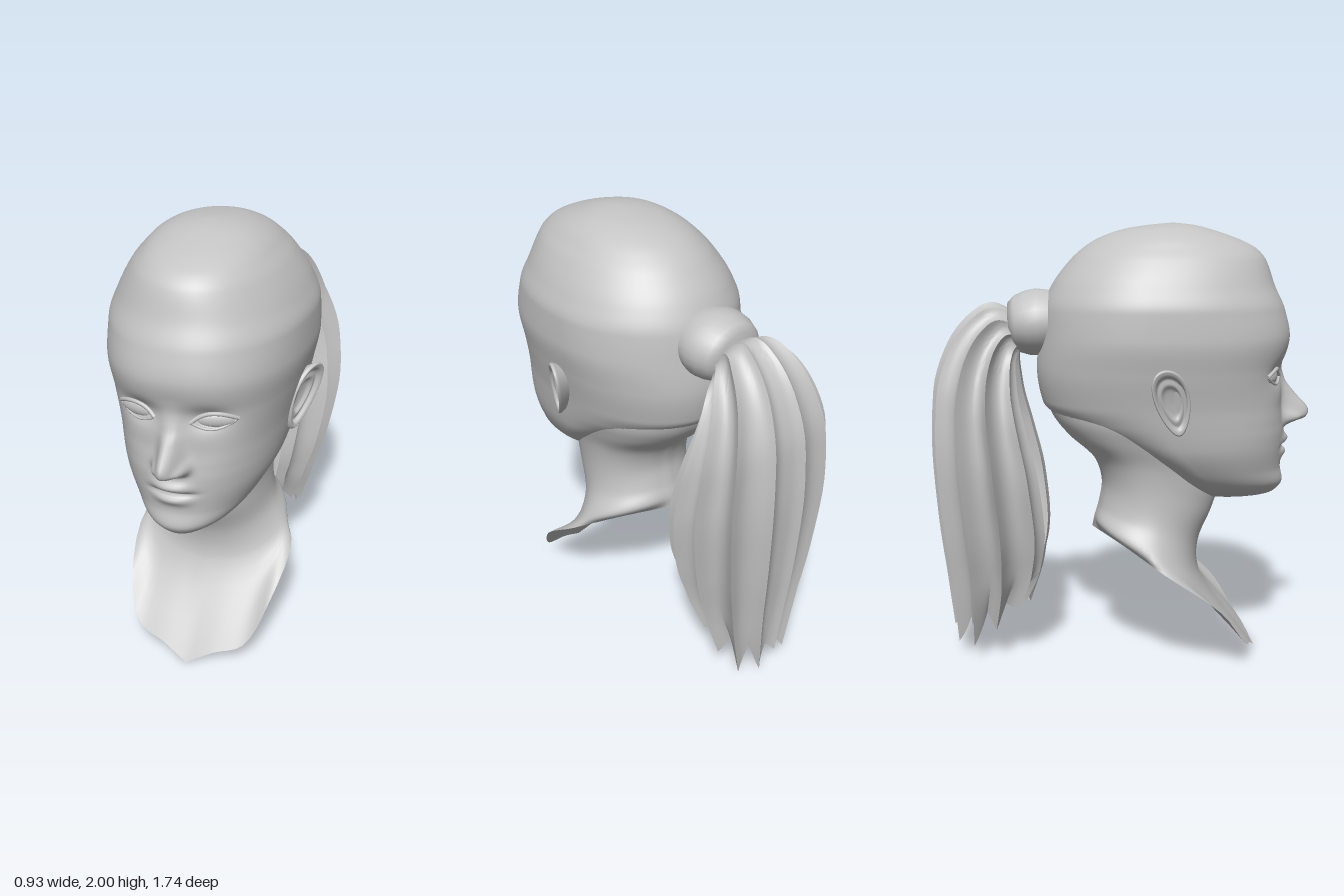
import * as THREE from 'three';
import { mergeVertices, toCreasedNormals } from 'three/addons/utils/BufferGeometryUtils.js';

const clay = new THREE.MeshStandardMaterial({ color: 0xc4c4c4, side: THREE.DoubleSide });
clay.name = 'grey clay';

// Monotone cubic through rows [key, a, b, ...]; returns every column at key t
function sample(rows, t) {
  let i = 0;
  while (i < rows.length - 2 && t > rows[i + 1][0]) i++;
  const h = rows[i + 1][0] - rows[i][0];
  const s = Math.min(1, Math.max(0, (t - rows[i][0]) / h));
  return rows[i].slice(1).map((_, n) => {
    const k = n + 1;
    const slope = (j) => (rows[j + 1][k] - rows[j][k]) / (rows[j + 1][0] - rows[j][0]);
    const tangent = (j) => {
      if (j === 0) return slope(0);
      if (j === rows.length - 1) return slope(j - 1);
      const a = slope(j - 1), b = slope(j);
      return a * b <= 0 ? 0 : (2 * a * b) / (a + b);
    };
    const s2 = s * s, s3 = s2 * s;
    return (2 * s3 - 3 * s2 + 1) * rows[i][k] + (s3 - 2 * s2 + s) * h * tangent(i)
      + (3 * s2 - 2 * s3) * rows[i + 1][k] + (s3 - s2) * h * tangent(i + 1);
  });
}

// Surface from a function of column u and row v, both 0..1
function grid(cols, rows, point) {
  const pos = [], index = [];
  for (let j = 0; j <= rows; j++) for (let i = 0; i <= cols; i++) pos.push(...point(i / cols, j / rows));
  for (let j = 0; j < rows; j++) for (let i = 0; i < cols; i++) {
    const a = j * (cols + 1) + i, d = a + cols + 1;
    index.push(a, a + 1, d + 1, a, d + 1, d);
  }
  let geo = new THREE.BufferGeometry();
  geo.setAttribute('position', new THREE.Float32BufferAttribute(pos, 3));
  geo.setIndex(index);
  geo = mergeVertices(geo, 1e-4);
  geo.computeVertexNormals();
  return geo;
}

function add(parent, name, geo) {
  const mesh = new THREE.Mesh(geo, clay);
  mesh.name = name;
  parent.add(mesh);
  return mesh;
}

// Head levels: y, half width, front z, back z, z of widest point, fullness of the front curve
const HEAD = [
  [0.747, 0, 0.52, 0.52, 0.52, 2], [0.755, 0.08, 0.65, 0.35, 0.5, 2], [0.775, 0.135, 0.72, 0.27, 0.47, 2.05],
  [0.83, 0.215, 0.757, 0.18, 0.42, 2.1], [0.9, 0.272, 0.745, 0.12, 0.35, 2.15], [1.0, 0.325, 0.75, -0.02, 0.26, 2.25],
  [1.06, 0.342, 0.752, -0.15, 0.22, 2.3], [1.12, 0.355, 0.746, -0.27, 0.18, 2.35],
  [1.2, 0.37, 0.737, -0.355, 0.14, 2.4], [1.35, 0.403, 0.74, -0.38, 0.12, 2.4],
  [1.5, 0.428, 0.77, -0.365, 0.12, 2.3], [1.62, 0.425, 0.745, -0.35, 0.13, 2.2], [1.72, 0.39, 0.7, -0.31, 0.14, 2.15],
  [1.84, 0.32, 0.655, -0.22, 0.17, 2.1], [1.885, 0.28, 0.615, -0.17, 0.18, 2.1], [1.925, 0.24, 0.54, -0.11, 0.2, 2.1],
  [1.97, 0.165, 0.41, 0.01, 0.22, 2], [1.99, 0.09, 0.33, 0.13, 0.23, 2], [2.0, 0, 0.24, 0.24, 0.24, 2],
];
// Nose: y, projection, half width
const NOSE = [[1.05, 0, 0.05], [1.075, 0.008, 0.05], [1.095, 0.05, 0.055], [1.12, 0.118, 0.055],
  [1.15, 0.132, 0.05], [1.235, 0.068, 0.042], [1.29, 0.025, 0.04], [1.36, 0.004, 0.04], [1.42, 0, 0.05]];
const bell = (d, w) => Math.exp(-((d / w) ** 2));

// Facial relief added to the front of the head
function relief(x, y) {
  const ax = Math.abs(x);
  const [out, wide] = sample(NOSE, y);
  const mouth = Math.exp(-((ax / 0.1) ** 4));
  return out * Math.exp(-((ax / wide) ** 2.4))
    + 0.035 * bell(ax - 0.058, 0.02) * bell(y - 1.125, 0.026)
    - 0.034 * bell(ax - 0.14, 0.08) * bell(y - 1.335, 0.05)
    + 0.006 * bell(ax - 0.22, 0.08) * bell(y - 1.18, 0.08)
    + mouth * (0.028 * bell(y - 1.025, 0.026) * bell(ax, 0.1) + 0.022 * bell(y - 0.962, 0.026) * bell(ax, 0.09)
      - 0.016 * bell(y - 0.992, 0.011));
}
function faceZ(x, y) {
  const [w, f, , c, full] = sample(HEAD, y);
  return c + (f - c) * (1 - (Math.abs(x) / w) ** full) ** (1 / full) + relief(x, y);
}

function headGeometry() {
  const levels = [HEAD[0][0]];
  for (let i = 1; i < HEAD.length; i++) {
    const a = HEAD[i - 1][0], b = HEAD[i][0], n = Math.max(3, Math.ceil((b - a) / 0.01));
    for (let k = 1; k <= n; k++) levels.push(a + ((b - a) * k) / n);
  }
  return grid(112, levels.length - 1, (u, v) => {
    const y = levels[Math.round(v * (levels.length - 1))];
    const [w, f, b, c, full] = sample(HEAD, y);
    const t = 2 * u - 1, a = Math.PI * (0.45 * t + 0.55 * t ** 3); // columns crowd towards the face
    const s = Math.sin(a), k = Math.cos(a), e = k > 0 ? 2 / full : 1;
    const x = w * Math.sign(s) * Math.abs(s) ** e;
    return [x, y, k > 0 ? c + (f - c) * k ** e + relief(x, y) : c + (c - b) * k];
  });
}

// Neck rings from back to front on the left side; the last is the cut edge of the bust
function neckGeometry() {
  const ring = (half, yb, zb, ys, zs, yf, zf) => {
    const p = [];
    for (let i = 0; i <= 8; i++) {
      const a = (Math.PI * i) / 8, k = -Math.cos(a);
      const [y, z] = k < 0 ? [ys + (yb - ys) * -k, zs + (zb - zs) * -k] : [ys + (yf - ys) * k, zs + (zf - zs) * k];
      p.push([half * Math.sin(a), y, z]);
    }
    return p;
  };
  const rings = [
    ring(0.325, 1.2, -0.34, 1.2, 0.07, 1.1, 0.4),
    ring(0.318, 1.12, -0.303, 1.11, 0.07, 1.0, 0.42),
    ring(0.295, 1.05, -0.245, 1.03, 0.08, 0.92, 0.44),
    ring(0.262, 0.94, -0.125, 0.92, 0.13, 0.8, 0.46),
    ring(0.25, 0.83, -0.085, 0.78, 0.15, 0.7, 0.435),
    ring(0.265, 0.72, -0.1, 0.65, 0.15, 0.54, 0.37),
    ring(0.32, 0.65, -0.12, 0.54, 0.16, 0.39, 0.375),
    [[0, 0.6, -0.13], [0.1, 0.58, -0.06], [0.2, 0.545, 0.03], [0.29, 0.51, 0.11], [0.365, 0.47, 0.19],
      [0.335, 0.28, 0.45], [0.25, 0.105, 0.57], [0.12, 0.06, 0.61], [0, 0, 0.645]],
  ].map((r) => new THREE.CatmullRomCurve3(r.map((p) => new THREE.Vector3(...p))));
  return grid(64, 42, (u, v) => {
    const t = 1 - Math.abs(2 * u - 1);
    const p = new THREE.CatmullRomCurve3(rings.map((r) => r.getPoint(t))).getPoint(v);
    return [u <= 0.5 ? p.x : -p.x, p.y, p.z];
  });
}

// Ear: tilted egg outline; rows run from the root over the rim into the bowl
function earGeometry(side) {
  const profile = [[0, 0.7, -0.06], [1, 0.94, 0.0], [2, 1, 0.018], [3, 0.95, 0.03], [4, 0.84, 0.026],
    [5, 0.72, 0.01], [6, 0.56, 0.014], [7, 0.38, 0.0], [8, 0, -0.004]];
  return grid(36, 32, (u, v) => {
    const [s, o] = sample(profile, v * 8);
    const a = -side * u * 2 * Math.PI;
    const py = 0.148 * s * Math.sin(a);
    const pz = 0.078 * s * Math.cos(a) * (1 + 0.28 * Math.sin(a));
    const y = 1.24 + py, z = 0.218 + pz - 0.22 * py;
    return [side * (0.385 + o + 0.45 * (0.215 - z) + 0.15 * py), y, z];
  });
}

// Eyeball and lids for one side
function addEye(parent, side) {
  const eye = new THREE.Group();
  eye.name = side > 0 ? 'leftEye' : 'rightEye';
  const cx = 0.163, cy = 1.325;
  const ball = add(eye, 'eyeball', new THREE.SphereGeometry(1, 28, 18));
  ball.scale.set(0.084, 0.036, 0.026);
  ball.position.set(side * cx, cy, faceZ(cx, cy) - 0.008);
  ball.rotation.y = side * 0.3;
  for (const [name, rise, r] of [['upperLid', 0.036, 0.009], ['lowerLid', -0.034, 0.006]]) {
    const pts = [];
    for (let i = 0; i <= 10; i++) {
      const s = i / 5 - 1, x = cx + 0.087 * s, y = cy + rise * (1 - s * s) + 0.006 * s;
      pts.push(new THREE.Vector3(side * x, y, faceZ(x, y) + 0.003 + (rise > 0 ? 0.006 * (1 - s * s) : 0)));
    }
    add(eye, name, new THREE.TubeGeometry(new THREE.CatmullRomCurve3(pts), 24, r, 8));
  }
  parent.add(eye);
}

// Ponytail: a pleated sheet, open towards the head, with thin outward ridges and ragged tips
function ponytailGeometry() {
  // row, back y, back z, front y, front z, half width
  const rows = [[0, 1.6, -0.47, 1.44, -0.44, 0.1], [1, 1.64, -0.57, 1.42, -0.46, 0.135],
    [2, 1.59, -0.66, 1.37, -0.47, 0.18], [3, 1.46, -0.76, 1.25, -0.46, 0.235], [4, 1.24, -0.825, 1.05, -0.415, 0.29],
    [5, 1.0, -0.835, 0.85, -0.37, 0.305], [6, 0.65, -0.815, 0.6, -0.345, 0.27], [7, 0.37, -0.785, 0.43, -0.37, 0.215],
    [8, 0.17, -0.765, 0.3, -0.44, 0.155]];
  const panels = 10, span = 2.45;
  const geo = grid(panels * 10, 40, (u, v) => {
    const [by, bz, fy, fz, rx] = sample(rows, v * 8);
    const a = (2 * u - 1) * span, s = u * panels + 0.3, near = Math.round(s);
    const d = Math.abs(s - near) * 2, flank = Math.abs(Math.sin(a));
    const out = 1 + (0.1 + 0.12 * flank) * (1 - d) ** 3 * Math.min(1, v * 5) - 0.04 * flank * d;
    const k = 0.435 + 0.565 * Math.cos(a) * out;
    const tip = Math.max(0, (v - 0.85) / 0.15) * (1 - d) * (0.03 + 0.1 * Math.abs(Math.sin(near * 2.3 + 1)));
    const x = rx * Math.sin(a) * out * (1 + 0.09 * Math.sin(2 * Math.abs(a))); // fuller towards the back
    return [x, fy + (by - fy) * k - tip, fz + (bz - fz) * k];
  });
  return toCreasedNormals(geo, 0.8);
}

export function createModel() {
  const model = new THREE.Group();
  model.name = 'bust';
  add(model, 'head', headGeometry());
  add(model, 'neck', neckGeometry());
  for (const side of [1, -1]) {
    add(model, side > 0 ? 'leftEar' : 'rightEar', earGeometry(side));
    addEye(model, side);
  }

  // Gathered knot that holds the ponytail
  const knot = [[0.13, 0], [0.143, 0.05], [0.152, 0.1], [0.146, 0.15], [0.128, 0.2], [0.1, 0.23], [0, 0.24]];
  const tie = add(model, 'hairTie', new THREE.LatheGeometry(knot.map((p) => new THREE.Vector2(...p)), 28));
  tie.rotation.x = -Math.PI / 2 - 0.08;
  tie.position.set(0, 1.565, -0.27);
  tie.scale.x = 1.18;

  add(model, 'ponytail', ponytailGeometry());
  return model;
}
